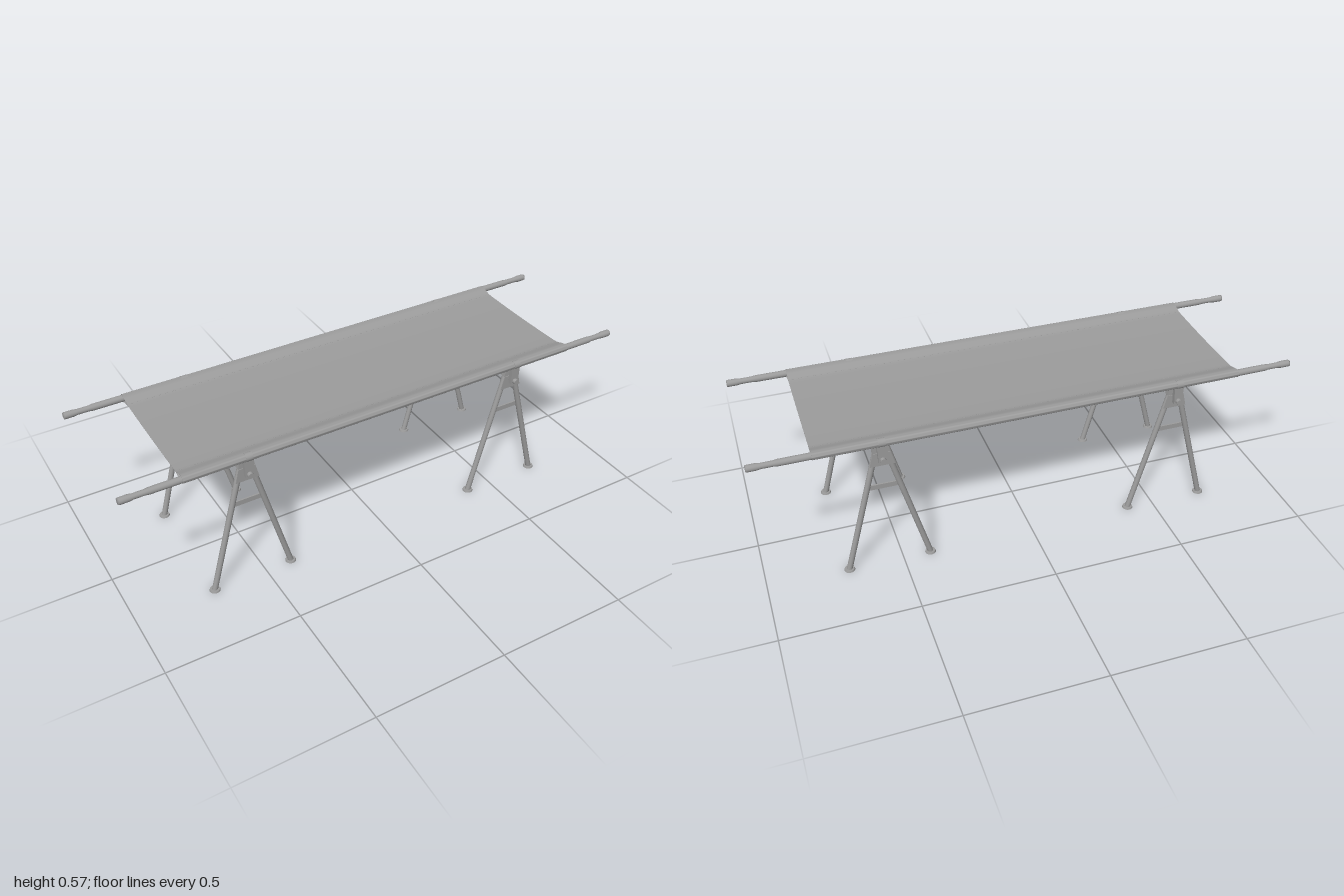
import * as THREE from 'three';
import { mergeGeometries, toCreasedNormals } from 'three/addons/utils/BufferGeometryUtils.js';

const grey = new THREE.MeshStandardMaterial({ color: 0x9c9c9c });
const POLE_Y = 0.5595, POLE_Z = 0.265, STAND_X = 0.55, LEG_Z = 0.2345, BAR_Y = 0.4895, HALF_CLOTH = 0.785;

function add(parent, name, geometry, x = 0, y = 0, z = 0) {
  const mesh = new THREE.Mesh(geometry, grey);
  mesh.name = name;
  mesh.position.set(x, y, z);
  parent.add(mesh);
  return mesh;
}

// round rod between two points
function rod(parent, name, a, b, radius) {
  const dir = b.clone().sub(a);
  const mesh = add(parent, name, new THREE.CylinderGeometry(radius, radius, dir.length(), 20));
  mesh.position.copy(a).add(b).multiplyScalar(0.5);
  mesh.quaternion.setFromUnitVectors(new THREE.Vector3(0, 1, 0), dir.normalize());
}

const toVectors = (points) => points.map(([x, y]) => new THREE.Vector2(x, y));

// flat plate from an x-y outline, centred on z, with an optional round hole
function plate(points, depth, hole) {
  const shape = new THREE.Shape(toVectors(points));
  if (hole) shape.holes.push(new THREE.Path().absarc(0, hole.y, hole.r, 0, Math.PI * 2, true));
  return new THREE.ExtrudeGeometry(shape, { depth, bevelEnabled: false, curveSegments: 16 })
    .translate(0, 0, -depth / 2);
}

// carrying pole with a necked grip at both ends
function makePole(side) {
  const half = [[0, 1], [0.0115, 1], [0.0128, 0.996], [0.0128, 0.965], [0.0105, 0.95],
    [0.0105, 0.91], [0.0125, 0.895], [0.0125, 0]];
  const profile = toVectors([...half.map(([r, x]) => [r, -x]), ...half.slice(0, -1).reverse()]);
  const group = new THREE.Group();
  group.name = side > 0 ? 'frontPole' : 'backPole';
  add(group, 'poleTube', new THREE.LatheGeometry(profile, 24).rotateZ(-Math.PI / 2));
  // clamp rings above the stands
  for (const x of [-STAND_X, STAND_X])
    add(group, 'poleClamp', new THREE.CylinderGeometry(0.0155, 0.0155, 0.026, 24).rotateZ(Math.PI / 2), x);
  group.position.set(0, POLE_Y, side * POLE_Z);
  return group;
}

// arc round the outside of a pole, from below to above
function poleArc(radius) {
  return Array.from({ length: 21 }, (_, i) => {
    const a = Math.PI * (-0.6 + (i / 20) * 1.2);
    return [POLE_Z + radius * Math.cos(a), POLE_Y + radius * Math.sin(a)];
  });
}

// thin cloth: a slightly sagging bed with a sleeve round each pole
function makeCloth() {
  const mirror = (points) => points.map(([z, y]) => [-z, y]).reverse();
  const sleeve = [[0.205, 0.5582], [0.217, 0.557], [0.235, 0.5515], ...poleArc(0.0146),
    [0.245, 0.5692], [0.23, 0.5642], [0.217, 0.5602], [0.205, 0.5592]];
  const inside = [[0.221, 0.5587], [0.235, 0.5527], ...poleArc(0.0136), [0.245, 0.568], [0.23, 0.563]];
  const bedTop = [];
  for (let i = 1; i < 16; i++) {
    const t = 1 - i / 8;
    bedTop.push([0.205 * t, 0.556 + 0.0032 * t * t]);
  }
  const bedBottom = bedTop.map(([z, y]) => [z, y - 0.001]).reverse();
  const shape = new THREE.Shape(toVectors([...sleeve, ...bedTop, ...mirror(sleeve), ...bedBottom]));
  shape.holes.push(new THREE.Path(toVectors(inside)), new THREE.Path(toVectors(mirror(inside))));
  const geometry = new THREE.ExtrudeGeometry(shape, { depth: HALF_CLOTH * 2, bevelEnabled: false })
    .translate(0, 0, -HALF_CLOTH).rotateY(Math.PI / 2);
  return toCreasedNormals(geometry, 0.7);
}

// row of stitches along both sleeves
function makeStitches() {
  const parts = [];
  for (const side of [-1, 1])
    for (let i = 0; i < 60; i++)
      parts.push(new THREE.BoxGeometry(0.012, 0.0008, 0.0015)
        .translate(-0.767 + i * 0.026, 0.5602, side * 0.216));
  return mergeGeometries(parts);
}

// A-shaped trestle side, standing at the given z side
function makeTrestle(side) {
  const group = new THREE.Group();
  group.name = side > 0 ? 'frontTrestle' : 'backTrestle';
  for (const s of [-1, 1]) {
    const foot = new THREE.Vector3(s * 0.152, 0.003, 0);
    rod(group, 'leg', foot, new THREE.Vector3(s * 0.018, 0.506, 0), 0.0105);
    add(group, 'foot', new THREE.CylinderGeometry(0.018, 0.02, 0.006, 24), foot.x, 0.003, 0);
  }
  // head block, outer gusset with bar hole, and spreader
  add(group, 'headBlock', plate([[-0.031, 0.503], [0.031, 0.503], [0.023, 0.552], [-0.023, 0.552]], 0.023));
  add(group, 'gusset', plate([[-0.044, 0.45], [0.044, 0.45], [0.031, 0.503], [-0.031, 0.503]], 0.003,
    { y: BAR_Y, r: 0.0115 }), 0, 0, side * 0.0125);
  add(group, 'spreader', new THREE.BoxGeometry(0.112, 0.019, 0.006), 0, 0.344, -side * 0.0105);
  // hanger joining the cross bar to the pole
  add(group, 'hanger', plate([[-0.015, 0.477], [0.015, 0.477], [0.018, 0.551], [-0.018, 0.551]], 0.016),
    0, 0, side * (0.262 - LEG_Z));
  group.position.z = side * LEG_Z;
  return group;
}

export function createModel() {
  const model = new THREE.Group();
  model.name = 'stretcher';
  for (const side of [1, -1]) model.add(makePole(side));
  add(model, 'cloth', makeCloth());
  add(model, 'stitches', makeStitches());
  for (const x of [-STAND_X, STAND_X]) {
    const stand = new THREE.Group();
    stand.name = x > 0 ? 'leftStand' : 'rightStand';
    for (const side of [1, -1]) stand.add(makeTrestle(side));
    add(stand, 'crossBar', new THREE.CylinderGeometry(0.0105, 0.0105, 0.566, 24).rotateX(Math.PI / 2), 0, BAR_Y, 0);
    stand.position.x = x;
    model.add(stand);
  }
  return model;
}
